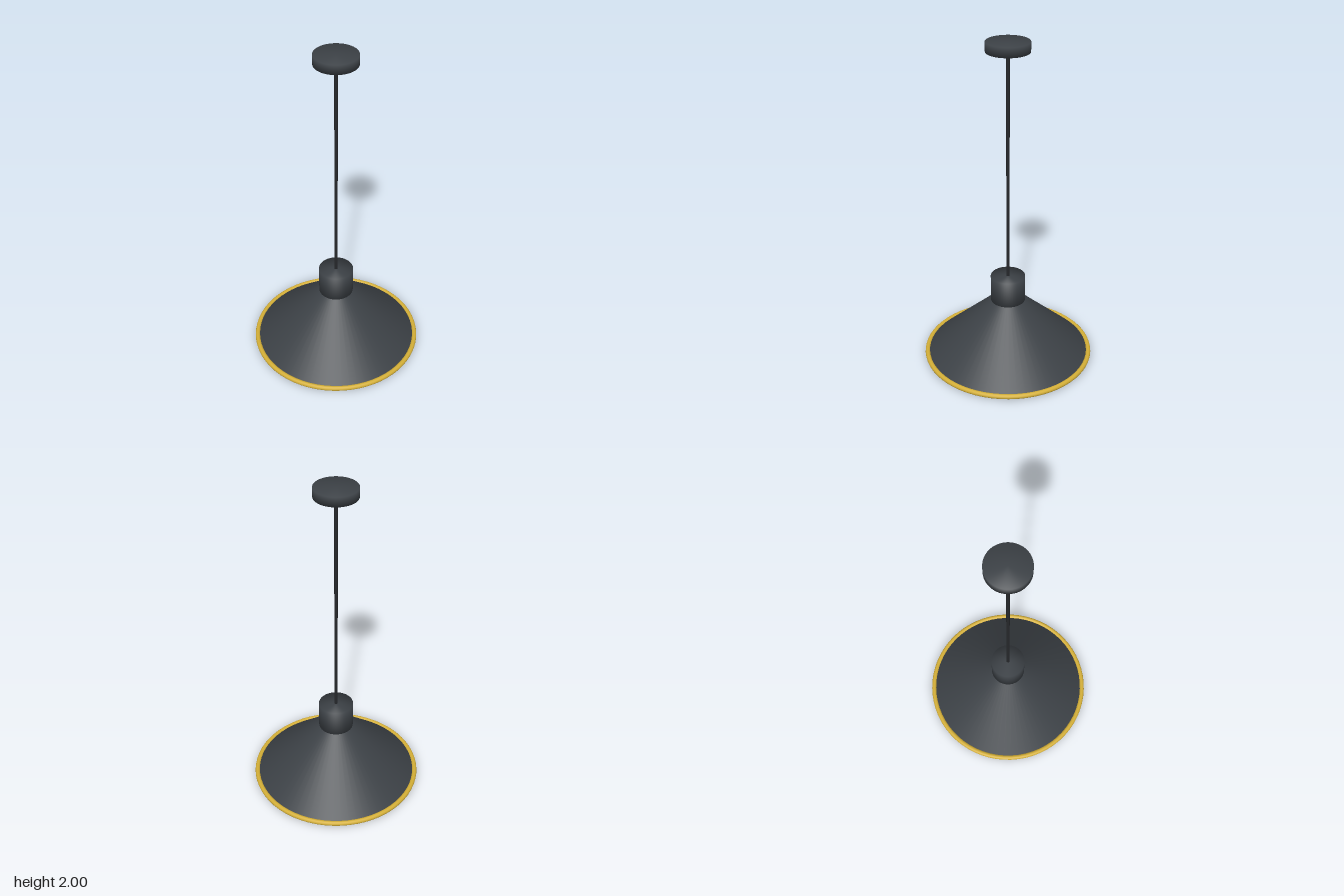
import * as THREE from 'three';

const SEGMENTS = 64;

function material(color, side = THREE.FrontSide) {
  return new THREE.MeshStandardMaterial({ color, side });
}

// Closed round part with soft shading across its rims, from y0 up to y1
function softDrum(radius, y0, y1) {
  const profile = [[0, y0], [radius, y0], [radius, y1], [0, y1]];
  return new THREE.LatheGeometry(profile.map(([x, y]) => new THREE.Vector2(x, y)), SEGMENTS);
}

// Straight cylinder or cone wall from y0 up to y1
function tube(rTop, rBottom, y0, y1, segments, open = false) {
  return new THREE.CylinderGeometry(rTop, rBottom, y1 - y0, segments, 1, open)
    .translate(0, (y0 + y1) / 2, 0);
}

export function createModel() {
  const group = new THREE.Group();
  const dark = material(0x3c4146);
  const add = (name, geometry, mat) => {
    const mesh = new THREE.Mesh(geometry, mat);
    mesh.name = name;
    group.add(mesh);
  };

  // Ceiling mount and hanging cable
  add('ceilingCanopy', softDrum(0.126, 1.943, 2), dark);
  add('cable', tube(0.01, 0.01, 0.5, 1.995, 16), material(0x25272a));

  // Lamp head: neck, open conical shade, gilt rim
  add('neck', softDrum(0.105, 0.375, 0.54), dark);
  add('shade', tube(0.1, 0.5, 0.015, 0.38, SEGMENTS, true), material(0x3c4146, THREE.DoubleSide));
  const rim = new THREE.TorusGeometry(0.505, 0.015, 12, SEGMENTS);
  add('rim', rim.rotateX(Math.PI / 2).translate(0, 0.015, 0), material(0xd4af37));

  // Bulb in its socket, inside the shade
  add('socket', tube(0.045, 0.045, 0.27, 0.38, 32), dark);
  add('bulb', new THREE.SphereGeometry(0.113, 32, 24).translate(0, 0.18, 0), material(0xfff5e1));

  return group;
}
